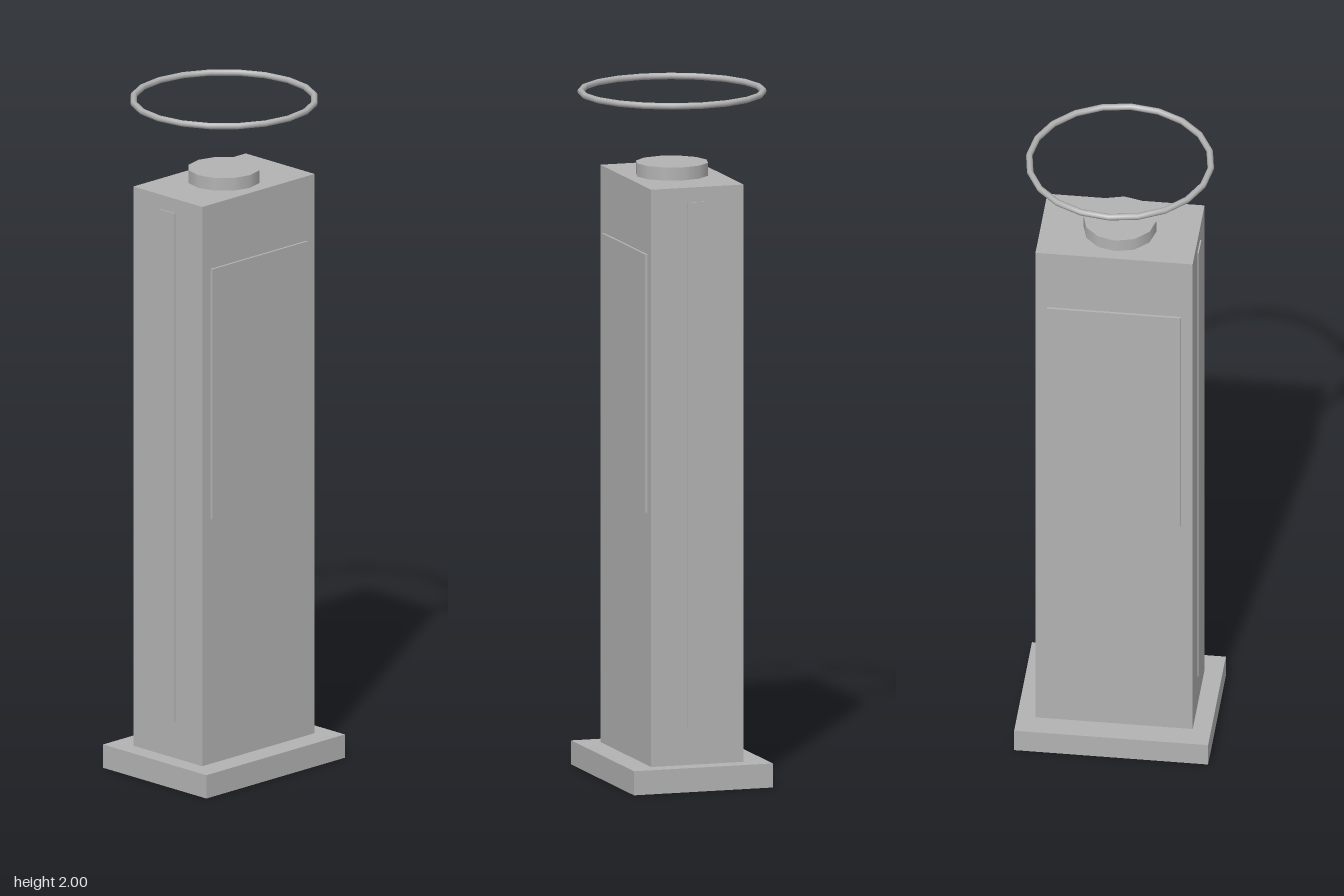
import * as THREE from 'three';

export function createModel() {
  const model = new THREE.Group();
  model.name = 'kiosk';

  const grey = new THREE.MeshStandardMaterial({ color: 0xb2b2b2 });
  grey.name = 'plain grey';

  const add = (name, geometry, x, y, z) => {
    const mesh = new THREE.Mesh(geometry, grey);
    mesh.name = name;
    mesh.position.set(x, y, z);
    model.add(mesh);
    return mesh;
  };
  // box given by its width, depth and vertical extent
  const box = (name, w, d, y0, y1, x = 0, z = 0) =>
    add(name, new THREE.BoxGeometry(w, y1 - y0, d), x, (y0 + y1) / 2, z);

  // plinth and tall body
  box('base', 0.56, 0.42, 0, 0.07);
  box('body', 0.454, 0.28, 0.07, 1.748);

  // front and back screens, left and right trim strips
  for (const side of [1, -1]) {
    box(side > 0 ? 'frontScreen' : 'backScreen', 0.386, 0.014, 0.804, 1.555, 0, side * 0.14);
    box(side > 0 ? 'leftStrip' : 'rightStrip', 0.008, 0.064, 0.178, 1.705, side * 0.227, 0);
  }

  // twelve-sided cap
  add('cap', new THREE.CylinderGeometry(0.105, 0.105, 0.038, 12), 0, 1.767, 0);

  // floating ring
  const ring = add('ring', new THREE.TorusGeometry(0.262, 0.0095, 8, 20), 0, 1.9905, 0);
  ring.rotation.x = Math.PI / 2;

  return model;
}
